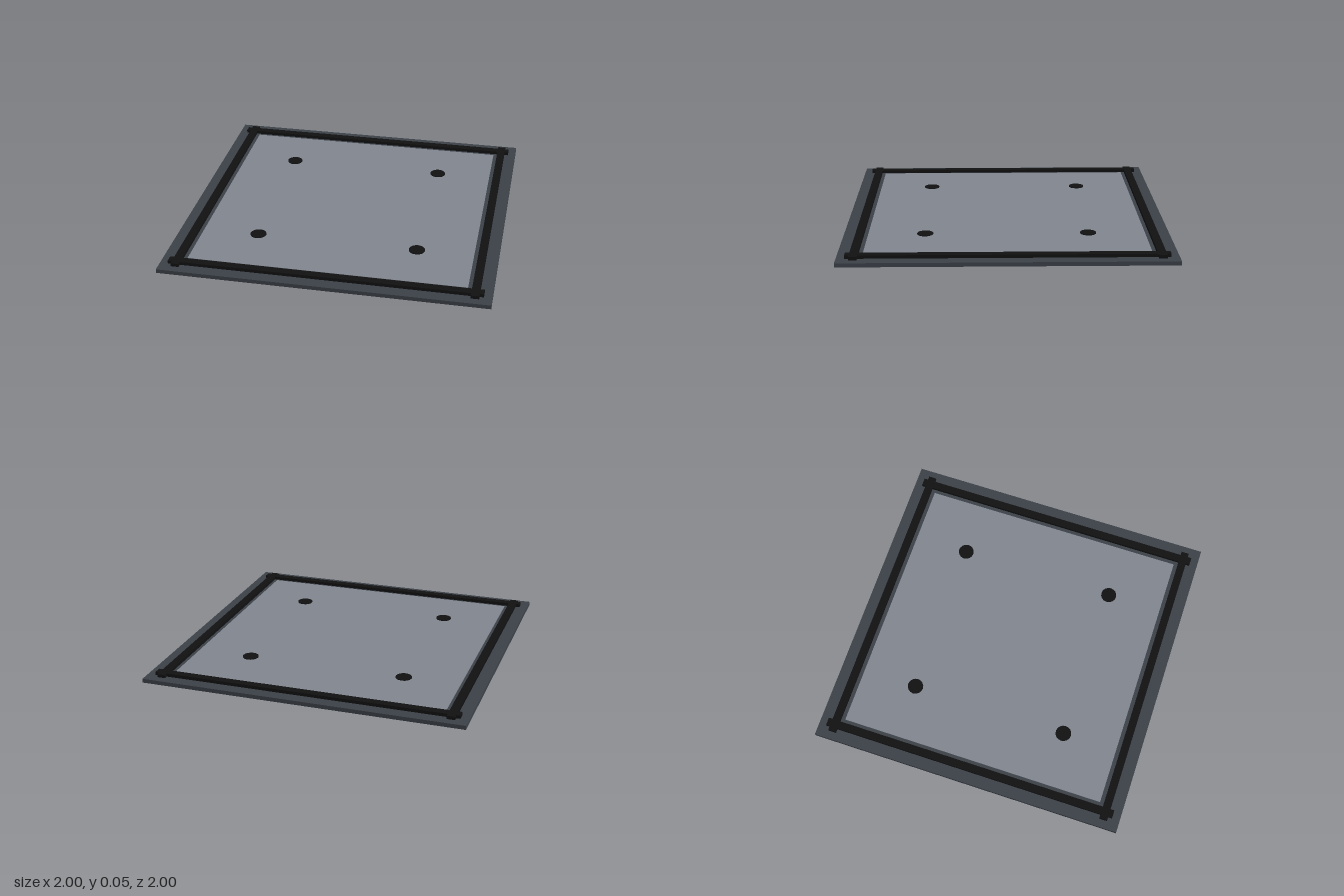
import * as THREE from 'three';

const frameMat = new THREE.MeshStandardMaterial({ color: 0x3c4149 });
const panelMat = new THREE.MeshStandardMaterial({ color: 0x80868f });
const rubberMat = new THREE.MeshStandardMaterial({ color: 0x111111 });

function add(parent, name, geometry, material, x, y, z) {
  const mesh = new THREE.Mesh(geometry, material);
  mesh.name = name;
  mesh.position.set(x, y, z);
  parent.add(mesh);
  return mesh;
}

export function createModel() {
  const model = new THREE.Group();
  model.name = 'hatchPanel';

  // Square frame with an opening for the panel
  const outline = new THREE.Shape([[-1, -1], [1, -1], [1, 1], [-1, 1]].map(p => new THREE.Vector2(...p)));
  outline.holes.push(new THREE.Path([[-0.85, -0.85], [-0.85, 0.85], [0.85, 0.85], [0.85, -0.85]].map(p => new THREE.Vector2(...p))));
  const frameGeo = new THREE.ExtrudeGeometry(outline, { depth: 0.025, bevelEnabled: false });
  frameGeo.rotateX(-Math.PI / 2);
  add(model, 'frame', frameGeo, frameMat, 0, 0.005, 0);

  // Panel, slightly proud of the frame on both faces
  add(model, 'panel', new THREE.BoxGeometry(1.7, 0.035, 1.7), panelMat, 0, 0.0175, 0);

  // Sealing strips, crossing at the corners
  for (const s of [-1, 1]) {
    add(model, 'sealStripAcross', new THREE.BoxGeometry(1.9, 0.02, 0.05), rubberMat, 0, 0.04, s * 0.9);
    add(model, 'sealStripAlong', new THREE.BoxGeometry(0.05, 0.02, 1.9), rubberMat, s * 0.9, 0.04, 0);
  }

  // Four round pads
  const padGeo = new THREE.CylinderGeometry(0.05, 0.05, 0.01, 16);
  for (const x of [-0.5, 0.5]) {
    for (const z of [-0.5, 0.5]) add(model, 'pad', padGeo, rubberMat, x, 0.035, z);
  }
  return model;
}
